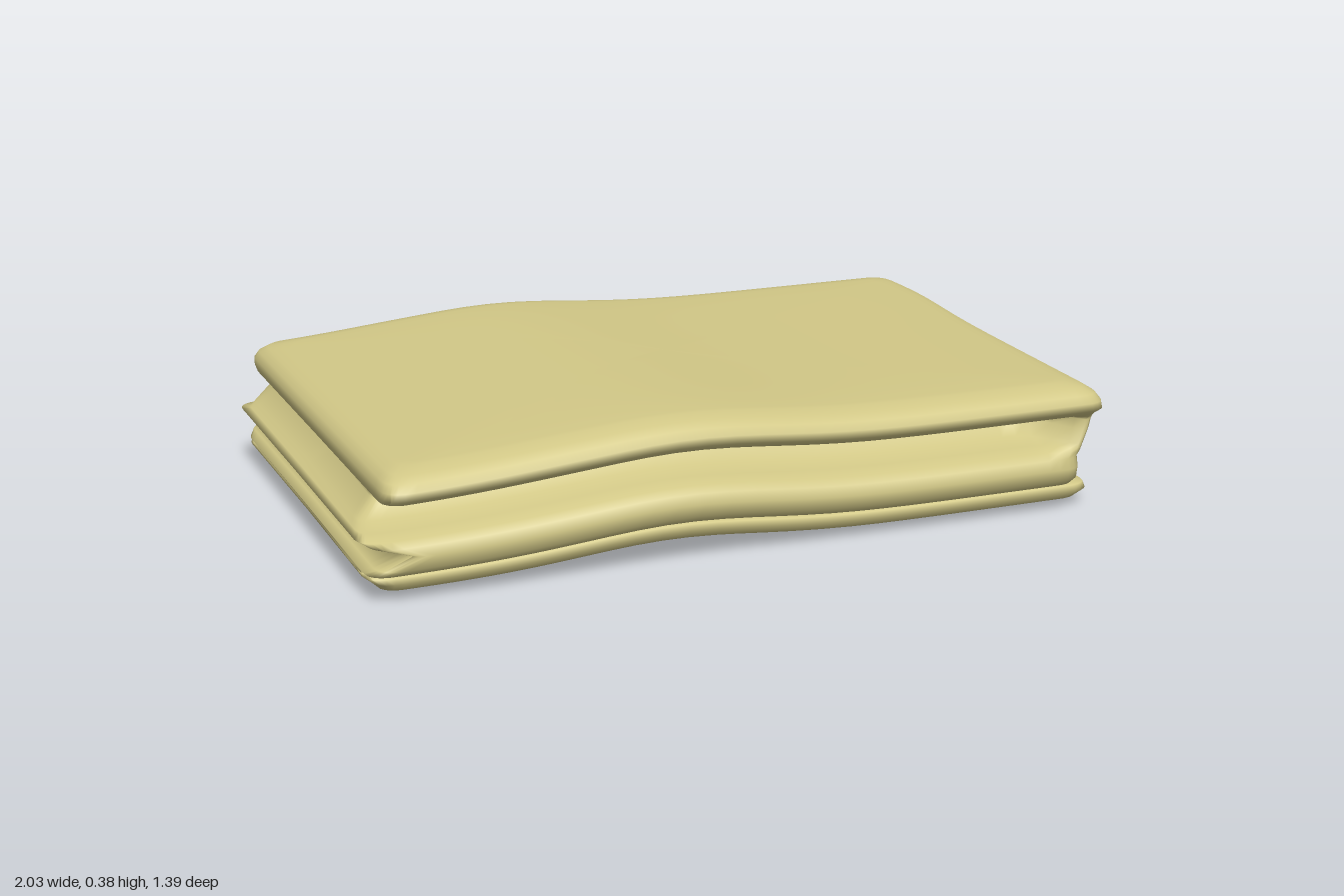
import * as THREE from 'three';

// Base outline corners [x, z]
const BACK_L = [-0.89, -0.70], BACK_R = [0.98, -0.59];
const FRONT_R = [0.885, 0.695], FRONT_L = [-0.96, 0.58];

// Edge profile from bottom to top: [height, front, back, minus-x, plus-x] outward offsets
const PROFILE = [
  [0.004, -0.15, -0.05, -0.06, -0.04],
  [0.018, -0.11, -0.02, -0.02, 0.015],
  [0.040, -0.09, 0.0, 0.0, 0.035],
  [0.056, -0.095, 0.0, 0.02, 0.03],
  [0.062, -0.12, -0.02, 0.02, 0.0],
  [0.064, -0.17, -0.06, 0.02, -0.04],
  [0.067, -0.11, -0.04, 0.02, -0.04],
  [0.075, -0.06, -0.015, 0.025, -0.03],
  [0.095, -0.035, 0.0, 0.01, -0.03],
  [0.125, -0.03, 0.005, -0.06, -0.03],
  [0.150, -0.04, 0.0, 0.02, -0.028],
  [0.165, -0.06, -0.015, 0.045, -0.022],
  [0.175, -0.10, -0.05, 0.03, -0.018],
  [0.185, -0.16, -0.03, 0.01, -0.014],
  [0.220, -0.21, -0.01, -0.04, 0.0],
  [0.245, -0.20, -0.03, -0.035, 0.006],
  [0.252, -0.10, -0.01, -0.02, 0.01],
  [0.262, -0.03, 0.0, -0.006, 0.015],
  [0.280, 0.0, 0.0, 0.0, 0.015],
  [0.300, 0.0, 0.0, 0.0, 0.01],
  [0.318, -0.015, -0.01, -0.01, 0.0],
  [0.332, -0.04, -0.03, -0.03, -0.02],
  [0.340, -0.08, -0.07, -0.06, -0.05],
];

const lerp = THREE.MathUtils.lerp, clamp = THREE.MathUtils.clamp;
const smooth = THREE.MathUtils.smoothstep;

// Rounded unit square, denser at the corners, front edge first
function outline() {
  const pts = [];
  const side = (n, at) => {
    for (let i = 0; i < n; i++) pts.push(at(Math.sin((i / n - 0.5) * Math.PI)));
  };
  side(40, k => [k, 1]);
  side(30, k => [1, -k]);
  side(40, k => [-k, -1]);
  side(30, k => [-1, k]);
  const rs = 0.055, rt = 0.08;
  return pts.map(([s, t]) => {
    const cs = clamp(s, rs - 1, 1 - rs), ct = clamp(t, rt - 1, 1 - rt);
    const ds = (s - cs) / rs, dt = (t - ct) / rt;
    const len = Math.hypot(ds, dt) || 1;
    return [cs + ds / len * rs, ct + dt / len * rt];
  });
}

// Places one outline point on a layer of the folded cloth
function place(s, t, [y, front, back, minusX, plusX]) {
  const u = (s + 1) / 2, v = (t + 1) / 2;
  const at = i => lerp(lerp(BACK_L[i], BACK_R[i], u), lerp(FRONT_L[i], FRONT_R[i], u), v);
  let x = at(0), z = at(1);
  // the deep front crease closes at the folded +x end
  if (y > 0.15 && y < 0.26) front = lerp(front, -0.035, smooth(x, 0.76, 0.87));
  x += s > 0 ? s * plusX : s * minusX;
  z += t > 0 ? t * front : t * back;
  // slight bulge of the folded end
  if (s > 0) x += 0.02 * s * Math.exp(-(((t + 0.65) / 0.4) ** 2));
  // gentle hump along the length
  const hump = 0.034 * Math.exp(-(((x + 0.22) / 0.32) ** 2));
  const droop = 0.05 * y * smooth(-x, 0.5, 1);
  return [x, y + hump - droop, z];
}

function clothGeometry() {
  const ring = outline(), n = ring.length;
  const shrink = [0.97, 0.92, 0.84, 0.74, 0.62, 0.5, 0.38, 0.26, 0.14, 0];
  const first = PROFILE[0], last = PROFILE[PROFILE.length - 1];
  // underside, edges, then top
  const layers = [
    ...shrink.map(k => [k, [first[0] - 0.004, ...first.slice(1)]]).reverse(),
    ...PROFILE.map(p => [1, p]),
    ...shrink.map(k => [k, [last[0] + 0.005 * (1 - k ** 8), ...last.slice(1)]]),
  ];
  const pos = [], idx = [];
  layers.forEach(([k, p]) => ring.forEach(([s, t]) => pos.push(...place(s * k, t * k, p))));
  for (let j = 0; j < layers.length - 1; j++) {
    for (let i = 0; i < n; i++) {
      const a = j * n + i, b = j * n + (i + 1) % n;
      if (j > 0) idx.push(a, b, b + n);
      if (j < layers.length - 2) idx.push(a, b + n, a + n);
    }
  }
  const geo = new THREE.BufferGeometry();
  geo.setAttribute('position', new THREE.Float32BufferAttribute(pos, 3));
  geo.setIndex(idx);
  geo.computeVertexNormals();
  return geo;
}

export function createModel() {
  const group = new THREE.Group();
  group.name = 'foldedTowel';
  const cloth = new THREE.MeshStandardMaterial({ color: 0xd2c887 });
  cloth.name = 'khaki cloth';
  const towel = new THREE.Mesh(clothGeometry(), cloth);
  towel.name = 'foldedCloth';
  group.add(towel);
  return group;
}
